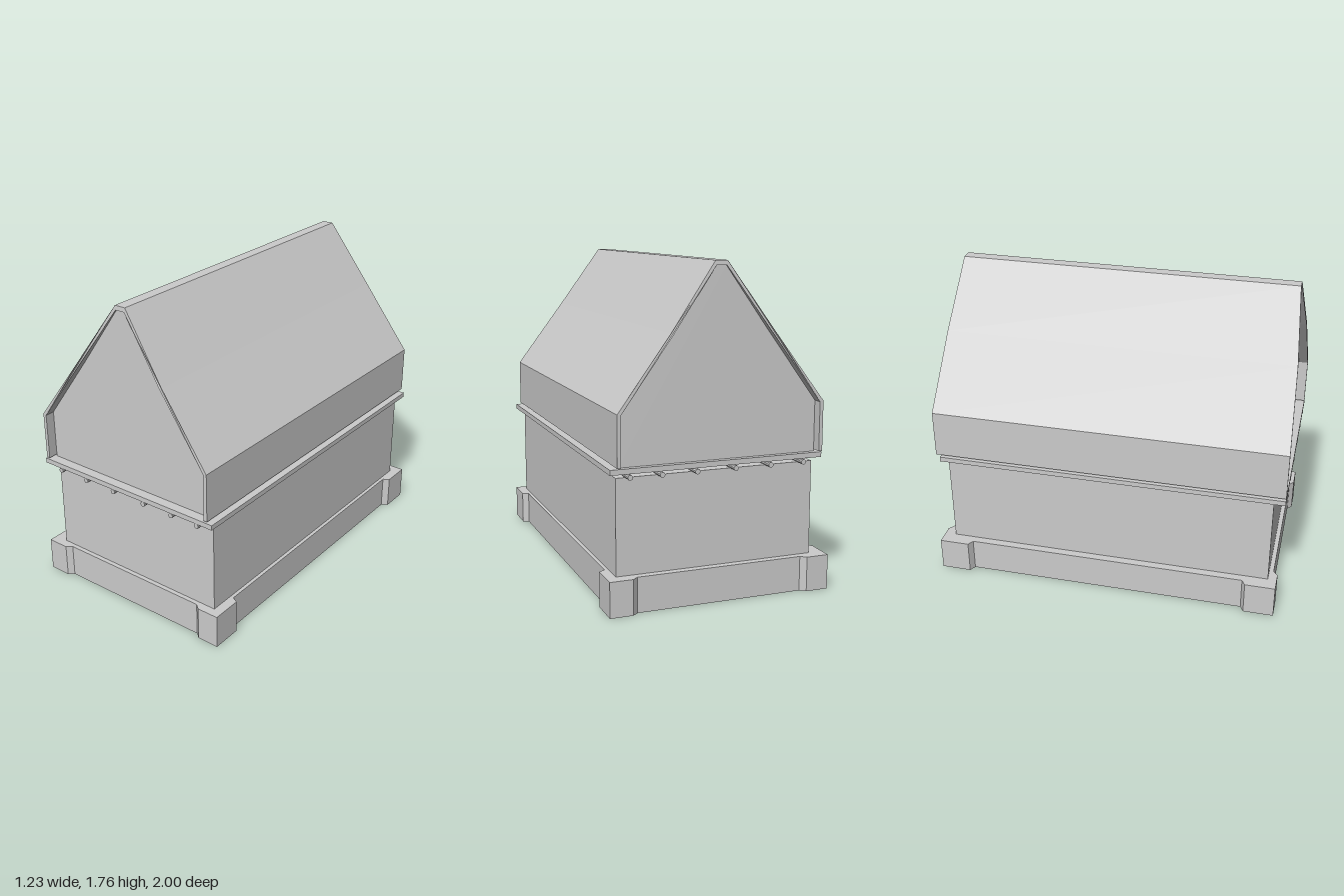
import * as THREE from 'three';

const material = new THREE.MeshStandardMaterial({ color: 0xcccccc, flatShading: true });

function add(group, name, geometry) {
  const mesh = new THREE.Mesh(geometry, material);
  mesh.name = name;
  group.add(mesh);
  return mesh;
}

// Box given by its limits on each axis
function block(group, name, [x0, x1], [y0, y1], [z0, z1]) {
  const mesh = add(group, name, new THREE.BoxGeometry(x1 - x0, y1 - y0, z1 - z0));
  mesh.position.set((x0 + x1) / 2, (y0 + y1) / 2, (z0 + z1) / 2);
}

const shapeOf = points => new THREE.Shape(points.map(([x, y]) => new THREE.Vector2(x, y)));

// Extrudes an xy outline between two z positions
function slab(points, z0, z1) {
  const geometry = new THREE.ExtrudeGeometry(shapeOf(points), { depth: z1 - z0, bevelEnabled: false });
  return geometry.translate(0, 0, z0);
}

export function createModel() {
  const group = new THREE.Group();
  group.name = 'gabledHouse';

  // Plinth with slightly projecting corners
  const quarter = [[0.58, 0.8], [0.615, 0.82], [0.615, 0.99], [0.49, 0.99], [0.46, 0.965]];
  const flipped = [...quarter].reverse();
  const outline = [
    ...quarter,
    ...flipped.map(([x, z]) => [-x, z]),
    ...quarter.map(([x, z]) => [-x, -z]),
    ...flipped.map(([x, z]) => [x, -z]),
  ];
  const plinth = slab(outline, 0, 0.19);
  plinth.rotateX(-Math.PI / 2).translate(0, 0, -0.005);
  add(group, 'plinth', plinth);

  // Lower storey and upper floor
  block(group, 'lowerWalls', [-0.535, 0.56], [0.19, 0.7], [-0.93, 0.935]);
  block(group, 'upperFloor', [-0.575, 0.6], [0.724, 0.752], [-0.965, 1]);

  // Joists running from front to back, ends showing under the floor
  for (const x of [-0.46, -0.27, -0.073, 0.14, 0.33, 0.5]) {
    const joist = new THREE.CylinderGeometry(0.014, 0.014, 1.985, 10).rotateX(Math.PI / 2);
    add(group, 'joist', joist).position.set(x, 0.71, 0.0075);
  }

  // Roof and side walls: one thin shell, open below
  const outer = [[-0.565, 0.762], [-0.565, 1.03], [-0.28, 1.41], [-0.03, 1.762],
    [0.035, 1.762], [0.285, 1.41], [0.57, 1.03], [0.57, 0.762]];
  const inner = [[-0.545, 0.762], [-0.545, 1.025], [-0.264, 1.405], [-0.025, 1.738],
    [0.03, 1.738], [0.269, 1.405], [0.55, 1.025], [0.55, 0.762]];
  const shell = slab([...outer, ...[...inner].reverse()], -1, 1);

  // Ends of the shell draw back towards the ridge
  const inset = y => y < 1.41
    ? 0.015 * Math.max(0, (y - 1.03) / 0.38)
    : 0.015 + 0.033 * (y - 1.41) / 0.352;
  const p = shell.attributes.position;
  for (let i = 0; i < p.count; i++) {
    const d = inset(p.getY(i));
    p.setZ(i, p.getZ(i) > 0 ? 1 - d : -0.99 + d);
  }
  shell.computeVertexNormals();
  add(group, 'roofShell', shell);

  // Recessed gable walls
  const gable = inner.map(([x, y]) => [x, y < 0.8 ? 0.752 : y]);
  add(group, 'frontGable', slab(gable, 0.91, 0.945));
  add(group, 'backGable', slab(gable, -0.935, -0.9));

  return group;
}
